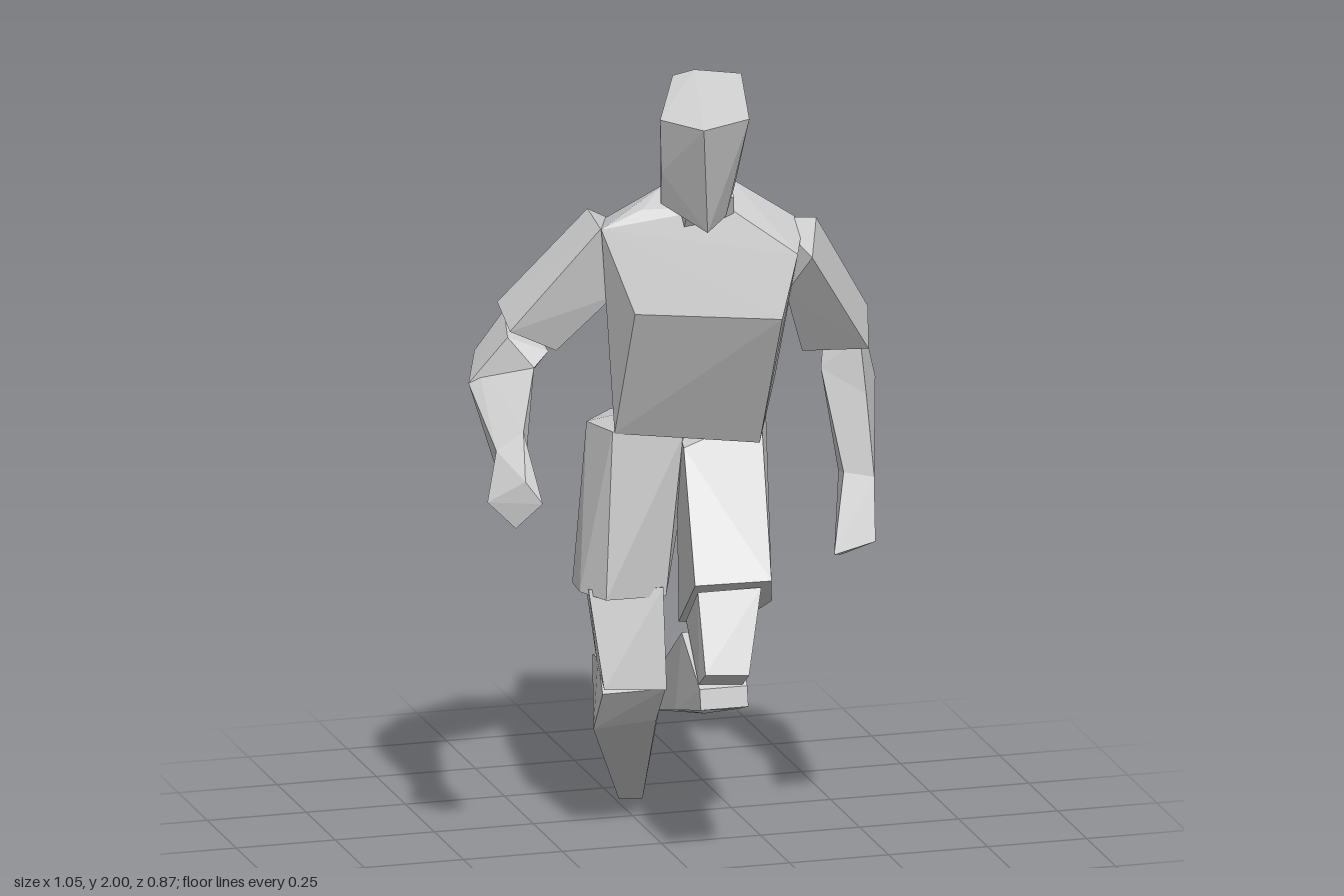
import * as THREE from 'three';
import { ConvexGeometry } from 'three/addons/geometries/ConvexGeometry.js';

const grey = new THREE.MeshStandardMaterial({ color: 0xcccccc });
grey.name = 'plain grey';

// Faceted solid spanning a few corner points
function solid(name, points) {
  const mesh = new THREE.Mesh(new ConvexGeometry(points.map(p => new THREE.Vector3(...p))), grey);
  mesh.name = name;
  return mesh;
}

// Limb: one faceted solid between each neighbouring pair of cross-sections
function limb(name, rings) {
  const group = new THREE.Group();
  group.name = name;
  for (let i = 0; i < rings.length - 1; i++) {
    group.add(solid(name + 'Segment' + (i + 1), [...rings[i], ...rings[i + 1]]));
  }
  return group;
}

export function createModel() {
  const model = new THREE.Group();
  model.name = 'runningFigure';

  // Head with a ridged face, turned a little to its right
  model.add(solid('head', [
    [-0.10, 1.925, 0.33], [-0.02, 1.92, 0.435], [0.105, 1.93, 0.40], [0.14, 1.99, 0.21], [0.03, 2.0, 0.18], [-0.02, 1.985, 0.165],
    [0.155, 1.87, 0.18], [-0.015, 1.87, 0.125],
    [-0.085, 1.78, 0.29], [-0.075, 1.69, 0.25], [0.02, 1.63, 0.33], [0.075, 1.66, 0.30], [0.13, 1.69, 0.18], [0.0, 1.74, 0.12],
  ]));
  model.add(limb('neck', [
    [[0.0, 1.74, 0.15], [0.12, 1.74, 0.16], [0.11, 1.69, 0.25], [0.0, 1.69, 0.25]],
    [[-0.02, 1.6, 0.08], [0.13, 1.6, 0.1], [0.12, 1.6, 0.21], [0.0, 1.6, 0.19]],
  ]));

  // Torso leaning forward
  model.add(solid('torso', [
    [-0.13, 1.055, 0.04], [0.21, 1.03, 0.13], [0.31, 1.13, -0.08], [-0.03, 1.15, -0.205],
    [-0.125, 1.40, 0.20], [0.21, 1.395, 0.325],
    [-0.19, 1.60, 0.13], [0.255, 1.55, 0.305], [0.31, 1.59, 0.165], [0.31, 1.57, 0.09], [-0.15, 1.59, 0.01],
    [-0.09, 1.645, 0.14], [0.10, 1.66, 0.22], [0.09, 1.62, 0.005], [-0.02, 1.69, 0.09], [0.14, 1.70, 0.12],
  ]));

  // Left arm, hanging
  model.add(limb('leftSleeve', [
    [[0.24, 1.6, 0.14], [0.335, 1.605, 0.19], [0.29, 1.54, 0.31], [0.25, 1.43, 0.22]],
    [[0.39, 1.36, 0.01], [0.495, 1.34, 0.09], [0.47, 1.26, 0.18], [0.32, 1.25, 0.12]],
  ]));
  model.add(limb('leftForearm', [
    [[0.38, 1.28, 0.10], [0.43, 1.31, 0.04], [0.48, 1.33, 0.07], [0.46, 1.28, 0.14]],
    [[0.37, 1.20, 0.11], [0.42, 1.17, 0.0], [0.525, 1.15, 0.05], [0.47, 1.14, 0.16]],
    [[0.41, 0.95, 0.17], [0.42, 0.93, 0.09], [0.505, 0.93, 0.10], [0.48, 0.94, 0.195]],
    [[0.37, 0.76, 0.225], [0.42, 0.73, 0.125], [0.485, 0.785, 0.13], [0.47, 0.79, 0.24]],
  ]));

  // Right arm, reaching forward
  model.add(limb('rightSleeve', [
    [[-0.19, 1.62, 0.01], [-0.19, 1.60, 0.125], [-0.15, 1.42, 0.10], [-0.10, 1.57, -0.005], [-0.08, 1.45, 0.02]],
    [[-0.40, 1.385, -0.05], [-0.40, 1.34, 0.06], [-0.28, 1.28, 0.05], [-0.28, 1.33, -0.09]],
  ]));
  model.add(limb('rightForearm', [
    [[-0.38, 1.36, -0.06], [-0.40, 1.32, 0.04], [-0.30, 1.28, 0.05], [-0.31, 1.32, -0.07]],
    [[-0.45, 1.26, -0.075], [-0.487, 1.20, 0.0], [-0.345, 1.25, 0.08], [-0.37, 1.20, -0.07], [-0.41, 1.14, 0.03]],
    [[-0.49, 1.10, 0.25], [-0.42, 1.14, 0.245], [-0.42, 1.05, 0.26], [-0.485, 1.05, 0.23]],
    [[-0.53, 0.99, 0.31], [-0.47, 0.93, 0.35], [-0.415, 1.0, 0.395], [-0.45, 1.05, 0.365]],
  ]));

  // Left leg: thigh forward, shin folded back
  model.add(limb('leftShorts', [
    [[0.03, 1.02, 0.09], [0.06, 1.04, -0.08], [0.13, 0.93, -0.19], [0.27, 1.03, -0.16], [0.29, 1.04, -0.09], [0.24, 1.075, 0.04], [0.25, 0.93, -0.19]],
    [[0.0, 0.73, 0.29], [0.19, 0.73, 0.30], [0.22, 0.65, 0.20], [0.17, 0.56, 0.07], [0.02, 0.58, 0.08]],
  ]));
  model.add(limb('leftKnee', [
    [[0.01, 0.71, 0.28], [0.17, 0.71, 0.28], [0.18, 0.62, 0.17], [0.03, 0.59, 0.11]],
    [[0.0, 0.53, 0.38], [0.11, 0.52, 0.38], [0.11, 0.48, 0.32], [0.0, 0.49, 0.32]],
  ]));
  model.add(limb('leftShin', [
    [[0.0, 0.48, 0.33], [0.12, 0.48, 0.33], [0.12, 0.43, 0.34], [0.0, 0.43, 0.34]],
    [[0.01, 0.57, 0.14], [0.15, 0.57, 0.14], [0.16, 0.36, 0.12], [0.0, 0.37, 0.12]],
    [[0.04, 0.28, -0.19], [0.17, 0.255, -0.21], [0.175, 0.355, -0.22], [0.05, 0.38, -0.20]],
  ]));

  // Right leg: thigh upright, widening into the seat; shin trailing behind
  model.add(limb('rightShorts', [
    [[-0.135, 1.06, 0.04], [-0.16, 1.05, -0.10], [-0.055, 1.03, -0.255], [0.15, 1.035, -0.195], [0.10, 1.09, -0.10], [0.04, 1.04, 0.05]],
    [[-0.20, 0.645, -0.02], [-0.08, 0.615, -0.235], [0.02, 0.63, -0.15], [0.0, 0.635, 0.04], [-0.16, 0.645, 0.07], [-0.19, 0.64, -0.12]],
  ]));
  model.add(limb('rightKnee', [
    [[-0.19, 0.66, 0.02], [-0.01, 0.66, 0.05], [0.0, 0.64, -0.14], [-0.15, 0.64, -0.15]],
    [[-0.165, 0.42, 0.07], [-0.01, 0.41, 0.08], [-0.01, 0.46, -0.085], [-0.14, 0.45, -0.08]],
  ]));
  model.add(limb('rightShin', [
    [[-0.16, 0.40, 0.04], [-0.01, 0.41, 0.07], [0.0, 0.465, -0.09], [-0.14, 0.46, -0.07]],
    [[-0.16, 0.29, -0.04], [-0.01, 0.31, -0.01], [0.07, 0.37, -0.20], [-0.11, 0.425, -0.22]],
    [[0.0, 0.01, -0.37], [0.065, 0.0, -0.385], [0.085, 0.09, -0.415], [0.02, 0.10, -0.43]],
  ]));

  return model;
}
